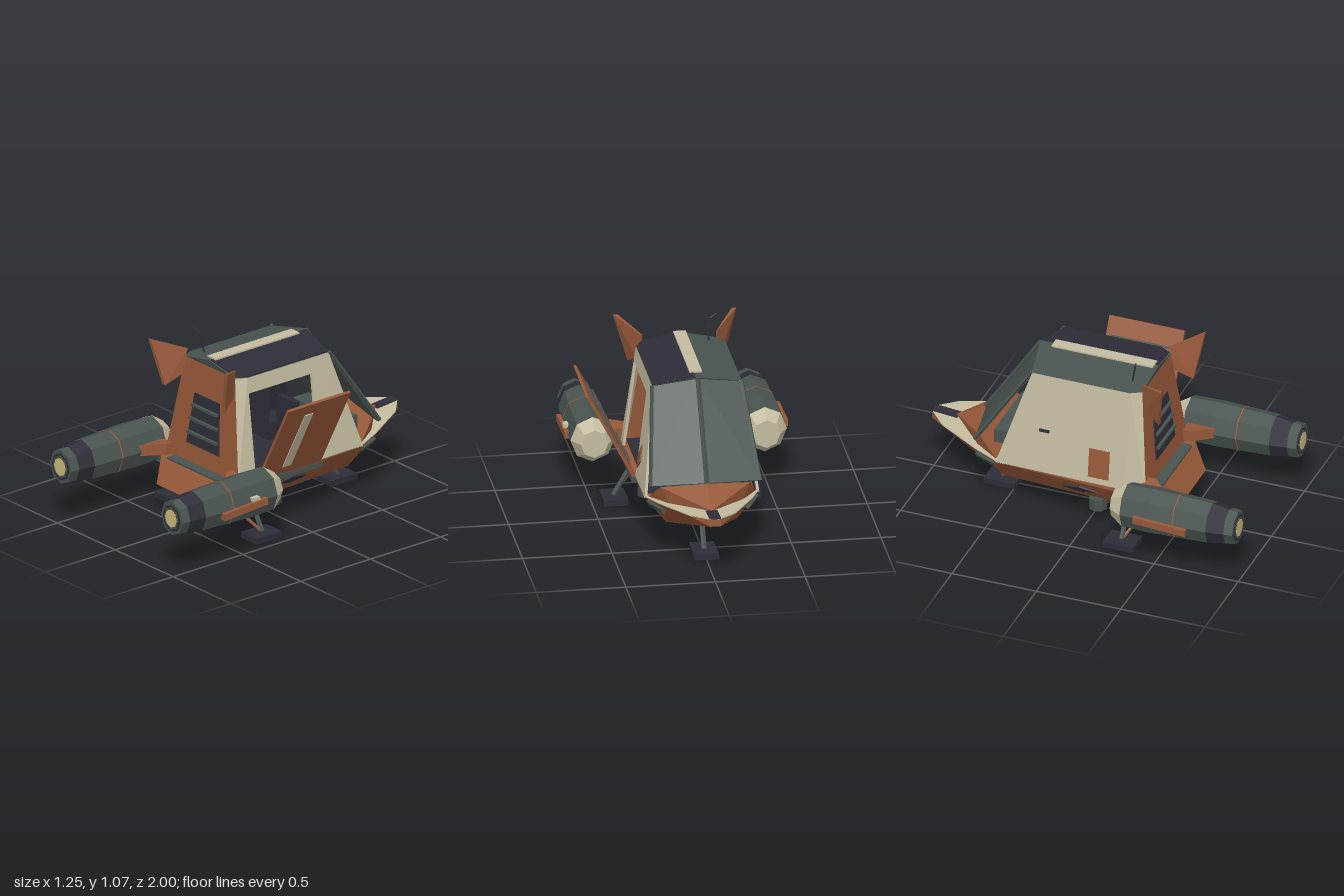
import * as THREE from 'three';
import { ConvexGeometry } from 'three/addons/geometries/ConvexGeometry.js';

const paint = (name, color) => new THREE.MeshStandardMaterial({ name, color, flatShading: true });
const V = (p) => new THREE.Vector3(...p);

export function createModel() {
  const rust = paint('rust', 0x965839);
  const tan = paint('tan', 0xc4bca0);
  const slate = paint('slate', 0x48534f);
  const navy = paint('navy', 0x2e2d38);
  const glow = paint('glow', 0xcdbb7c);
  const ship = new THREE.Group();
  ship.name = 'shuttle';

  const add = (name, geometry, mat) => {
    const m = new THREE.Mesh(geometry, mat);
    m.name = name;
    ship.add(m);
    return m;
  };
  const hull = (name, pts, mat) => add(name, new ConvexGeometry(pts.map(V)), mat);
  const both = (pts) => pts.flatMap(([x, y, z]) => [[x, y, z], [-x, y, z]]);
  const flip = (pts, s) => pts.map(([x, y, z]) => [x * s, y, z]);
  const box = (name, size, pos, mat) => {
    const m = add(name, new THREE.BoxGeometry(...size), mat);
    m.position.set(...pos);
    return m;
  };
  // Flat plate on an outline, from offset t0 to t1 along its outward normal
  const slab = (name, pts, t0, t1, mat) => {
    const p = pts.map(V);
    const n = p[1].clone().sub(p[0]).cross(p[2].clone().sub(p[0])).normalize();
    if (n.dot(p[0].clone().sub(new THREE.Vector3(0, 0.25, -0.2))) < 0) n.negate();
    const out = [t0, t1].flatMap((t) => p.map((q) => q.clone().addScaledVector(n, t)));
    return add(name, new ConvexGeometry(out), mat);
  };
  const strut = (name, a, b, r, mat, sides = 6) => {
    const d = V(b).sub(V(a));
    const m = add(name, new THREE.CylinderGeometry(r, r, d.length(), sides), mat);
    m.position.copy(V(a)).addScaledVector(d, 0.5);
    m.quaternion.setFromUnitVectors(new THREE.Vector3(0, 1, 0), d.normalize());
    return m;
  };

  // Lower hull and nose
  const joint = [[0.32, 0.325, -0.5], [0.2, 0.168, -0.5]];
  hull('lowerHull', both([...joint, [0.33, 0.32, 0.36], [0.28, 0.32, 0.44], [0.33, 0.295, 0.36],
    [0.21, 0.2, 0.53], [0.23, 0.157, 0.33]]), rust);
  const deck = [[0.32, 0.325, -0.5], [0.26, 0.3385, -0.65], [0.13, 0.361, -0.9], [0.03, 0.37, -0.995]];
  hull('nose', both([...joint, ...deck.slice(1), [0.03, 0.33, -1]]), rust);
  slab('noseDeck', [deck[0], deck[3], ...flip(deck, -1), ...deck.slice(1, 3)], 0, 0.005, tan);
  slab('noseStripe', [[0.032, 0.372, -0.998], [0.032, 0.359, -0.85], [-0.032, 0.359, -0.85],
    [-0.032, 0.372, -0.998]], 0, 0.008, navy);
  box('rearStep', [0.46, 0.012, 0.06], [0, 0.325, 0.41], slate);
  hull('cowl', [[0, 0.46, -0.69], [0, 0.367, -0.865],
    ...both([[0.25, 0.43, -0.63], [0.21, 0.345, -0.66], [0.3, 0.327, -0.51]])], rust);

  // Cabin shell
  const rearTop = [0.215, 0.91, 0.32], rearLow = [0.315, 0.322, 0.38];
  const backTop = [0.25, 0.91, 0.26], backLow = [0.325, 0.322, 0.26];
  const foreTop = [0.25, 0.91, -0.32], foreLow = [0.32, 0.322, -0.51];
  slab('rearWall', [rearTop, rearLow, ...flip([rearLow, rearTop], -1)], -0.015, 0, rust);
  for (const s of [1, -1]) slab('rearPillar', flip([rearTop, rearLow, backLow, backTop], s), -0.015, 0, tan);
  const leftWall = flip([backTop, backLow, foreLow, foreTop], -1);
  slab('closedWall', leftWall, -0.015, 0, tan);
  slab('wallLining', leftWall, -0.022, -0.016, navy);
  slab('doorHeader', [backTop, foreTop, [0.261, 0.82, -0.349], [0.261, 0.82, 0.26]], -0.015, 0, tan);
  slab('frontPanel', [[0.261, 0.82, -0.19], [0.323, 0.322, -0.19], foreLow, [0.261, 0.82, -0.349]], -0.015, 0, tan);
  hull('roof', [[0, 0.955, 0.33], [0, 0.96, -0.37], ...both([rearTop, backTop, foreTop])], slate);
  slab('roofPanel', [[0.01, 0.955, 0.325], [0.01, 0.957, -0.36], [0.247, 0.912, -0.32],
    [0.247, 0.912, 0.25], [0.213, 0.913, 0.31]], 0, 0.006, navy);
  box('roofStripe', [0.07, 0.009, 0.6], [0, 0.963, 0.01], tan);

  // Windscreen
  for (const s of [1, -1]) {
    slab('windscreen', flip([[0.012, 0.95, -0.36], [0.25, 0.908, -0.325], [0.305, 0.44, -0.635],
      [0.012, 0.46, -0.685]], s), -0.012, 0.002, slate);
    strut('screenSide', [s * 0.25, 0.912, -0.325], [s * 0.307, 0.44, -0.64], 0.011, slate, 4);
  }
  strut('screenBeam', [0, 0.955, -0.365], [0, 0.46, -0.69], 0.014, slate, 4);

  // Rear vent, lying on the sloped wall
  const wallZ = (y) => 0.32 + (0.91 - y) * 0.102;
  slab('vent', [[0.105, 0.73, wallZ(0.73)], [0.14, 0.435, wallZ(0.435)], [-0.14, 0.435, wallZ(0.435)],
    [-0.105, 0.73, wallZ(0.73)]], 0, 0.008, navy);
  [0.665, 0.585, 0.505].forEach((y, i) =>
    box('ventSlat', [0.22 + i * 0.019, 0.014, 0.022], [0, y, wallZ(y) + 0.014], slate));

  // Tail fins
  for (const s of [1, -1]) {
    const fin = [[0.21, 0.955, 0.31], [0.345, 1.016, 0.48], [0.27, 0.755, 0.44], [0.235, 0.81, 0.345]];
    hull('tailFin', flip([...fin, ...fin.map(([x, y, z], i) => [x - (i ? 0.026 : 0.004), y, z])], s), rust);
  }

  // Open door, hinged at the sill
  const dx = (y) => 0.33 + (y - 0.32) * 0.525;
  const onDoor = (y0, y1, z0, z1) =>
    [[dx(y0), y0, z0], [dx(y1), y1, z0], [dx(y1), y1, z1], [dx(y0), y0, z1]];
  slab('door', onDoor(0.315, 0.82, 0.255, -0.19), -0.008, 0.008, rust);
  slab('doorStripe', onDoor(0.38, 0.75, 0.11, 0.05), 0.008, 0.013, tan);
  for (let i = 0; i < 4; i++) {
    const y = 0.4 + i * 0.105;
    slab('doorRib', onDoor(y, y + 0.012, 0.22, -0.16), -0.016, -0.008, slate);
  }
  box('doorSill', [0.03, 0.032, 0.46], [0.33, 0.306, 0.03], slate);

  // Interior
  box('floor', [0.58, 0.01, 0.8], [0, 0.327, -0.06], navy);
  box('dashboard', [0.42, 0.08, 0.12], [0, 0.42, -0.5], slate);
  for (const x of [-0.13, 0.13]) {
    box('seatBase', [0.15, 0.1, 0.15], [x, 0.38, -0.22], navy);
    box('seatBack', [0.15, 0.24, 0.04], [x, 0.53, -0.13], navy);
  }

  // Patches and hull vents
  const sideX = (y) => 0.25 + (0.91 - y) * 0.125;
  const patch = (pts, s) => pts.map(([z, y]) => [s * sideX(y), y, z]);
  slab('sidePatch', patch([[-0.23, 0.39], [-0.23, 0.47], [-0.285, 0.545], [-0.295, 0.45]], 1), 0, 0.008, rust);
  slab('sidePatch', patch([[0.04, 0.36], [0.04, 0.53], [0.16, 0.53], [0.16, 0.36]], -1), 0, 0.008, rust);
  slab('grabRail', patch([[-0.2, 0.57], [-0.2, 0.585], [-0.26, 0.585], [-0.26, 0.57]], -1), 0, 0.009, navy);
  for (const s of [1, -1]) {
    slab('hullVent', [[0.08, 0.245], [-0.02, 0.265], [-0.13, 0.245], [-0.02, 0.225]]
      .map(([z, y]) => [s * (0.33 - (0.32 - y) * 0.613), y, z]), -0.01, 0.009, navy);
    slab('noseVent', flip([[0.302, 0.315, -0.52], [0.285, 0.285, -0.52], [0.225, 0.287, -0.65],
      [0.245, 0.315, -0.65]], s), -0.005, 0.015, slate);
  }

  // Engines, pylons, legs and belly pods
  for (const s of [1, -1]) {
    const frustum = (name, r0, z0, r1, z1, mat) => {
      const g = new THREE.CylinderGeometry(r1, r0, z1 - z0, 8).rotateX(Math.PI / 2).scale(0.94, 1, 1);
      const m = add(name, g, mat);
      m.position.set(s * 0.48, 0.34, (z0 + z1) / 2);
    };
    frustum('engineCap', 0.082, 0.26, 0.132, 0.335, tan);
    frustum('engineBody', 0.13, 0.335, 0.135, 0.5, slate);
    frustum('engineBody', 0.135, 0.5, 0.122, 0.84, slate);
    frustum('engineBand', 0.132, 0.643, 0.132, 0.65, rust);
    frustum('engineCollar', 0.122, 0.84, 0.105, 0.94, navy);
    frustum('nozzle', 0.105, 0.94, 0.1, 0.992, slate);
    frustum('nozzleRing', 0.08, 0.992, 0.08, 0.995, navy);
    frustum('nozzleRing', 0.066, 0.995, 0.066, 0.998, slate);
    frustum('nozzleGlow', 0.053, 0.998, 0.053, 1, glow);
    const fin = box('engineFin', [0.035, 0.04, 0.31], [s * 0.605, 0.328, 0.575], rust);
    fin.rotation.x = 0.06;

    hull('pylon', flip([[0.26, 0.395, 0.36], [0.26, 0.395, 0.42], [0.26, 0.33, 0.36], [0.26, 0.33, 0.42],
      [0.38, 0.375, 0.36], [0.38, 0.375, 0.54], [0.38, 0.315, 0.36], [0.38, 0.315, 0.54]], s), rust);
    box('pylonFoot', [0.04, 0.03, 0.08], [s * 0.285, 0.305, 0.4], slate);

    strut('rearLeg', [s * 0.265, 0.225, 0.26], [s * 0.375, 0.035, 0.26], 0.015, slate);
    strut('rearBrace', [s * 0.23, 0.175, 0.36], [s * 0.37, 0.04, 0.265], 0.009, rust);
    box('rearFoot', [0.137, 0.034, 0.18], [s * 0.373, 0.017, 0.263], navy);
    const pod = add('bellyPod', new THREE.CylinderGeometry(0.053, 0.053, 0.07, 8), slate);
    pod.position.set(s * 0.22, 0.14, 0.06);
  }
  box('engineLamp', [0.03, 0.02, 0.05], [0.605, 0.368, 0.5], tan);
  strut('frontLeg', [0, 0.19, -0.48], [0, 0.03, -0.59], 0.016, slate);
  box('frontFoot', [0.137, 0.034, 0.185], [0, 0.017, -0.585], navy);

  // Bent aerial
  strut('aerial', [-0.15, 0.92, 0.235], [-0.162, 1.05, 0.26], 0.005, navy);
  strut('aerialTip', [-0.162, 1.05, 0.26], [-0.2, 1.07, 0.275], 0.004, navy);
  return ship;
}
